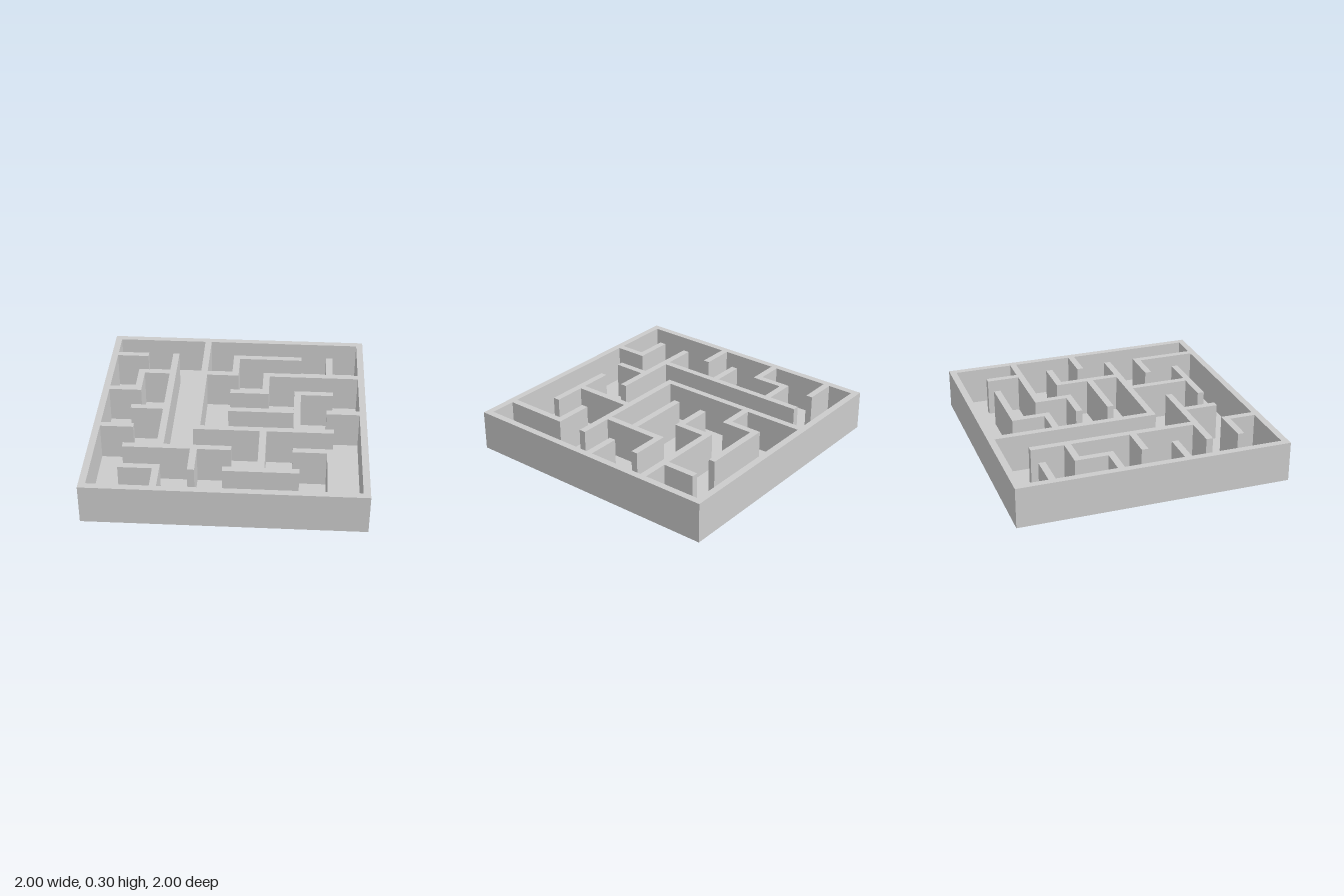
import * as THREE from 'three';

const N = 8;                    // cells per side
const T = 0.05;                 // wall thickness
const PITCH = (2 - T) / N;
const HEIGHT = 0.298, FLOOR = 0.02;

// Inner wall runs between grid posts: x1, z1, x2, z2
const RUNS = [
  [0, 1, 1, 1], [2, 1, 2, 6], [1, 2, 2, 2], [1, 2, 1, 3], [0, 3, 1, 3],
  [1, 4, 2, 4], [0, 5, 1, 5], [1, 6, 4, 6], [3, 6, 3, 7], [1, 7, 2, 7],
  [2, 7, 2, 8], [3, 0, 3, 5], [3, 2, 4, 2], [4, 1, 4, 2], [4, 1, 6, 1],
  [3, 5, 7, 5], [5, 5, 5, 7], [4, 7, 6, 7], [5, 2, 8, 2], [5, 2, 5, 3],
  [4, 3, 5, 3], [7, 1, 7, 2], [6, 3, 7, 3], [6, 3, 6, 5], [4, 4, 6, 4],
  [7, 4, 8, 4], [6, 6, 7, 6], [7, 6, 7, 8],
];
const BORDER = [[0, 0, N, 0], [0, N, N, N], [0, 0, 0, N], [N, 0, N, N]];

// Position of a grid line; lines alternate between the two sides of each wall
const pos = (i) => -1 + Math.floor(i / 2) * PITCH + (i % 2) * T;

// Outlines of the corridors, found by chaining the edges between open and solid squares
function corridorOutlines() {
  const solid = new Set();
  for (const [x1, z1, x2, z2] of [...RUNS, ...BORDER])
    for (let x = 2 * x1; x <= 2 * x2; x++)
      for (let z = 2 * z1; z <= 2 * z2; z++) solid.add(`${x},${z}`);

  const next = new Map();
  const ring = [[0, 0, 1, 0, 0, -1], [1, 0, 1, 1, 1, 0], [1, 1, 0, 1, 0, 1], [0, 1, 0, 0, -1, 0]];
  for (let x = 1; x < 2 * N; x++)
    for (let z = 1; z < 2 * N; z++) {
      if (solid.has(`${x},${z}`)) continue;
      for (const [ax, az, bx, bz, dx, dz] of ring)
        if (solid.has(`${x + dx},${z + dz}`)) next.set(`${x + ax},${z + az}`, [x + bx, z + bz]);
    }

  const outlines = [];
  while (next.size) {
    const loop = [];
    let key = next.keys().next().value;
    while (next.has(key)) {
      const p = next.get(key);
      next.delete(key);
      loop.push(p);
      key = p.join();
    }
    // Keep corners only
    const corners = loop.filter((p, i) => {
      const a = loop[(i + loop.length - 1) % loop.length], b = loop[(i + 1) % loop.length];
      return !((a[0] === p[0] && b[0] === p[0]) || (a[1] === p[1] && b[1] === p[1]));
    });
    outlines.push(corners.map(([x, z]) => new THREE.Vector2(pos(x), pos(z))));
  }
  return outlines;
}

export function createModel() {
  const group = new THREE.Group();
  group.name = 'maze';
  const material = new THREE.MeshStandardMaterial({ color: 0xcccccc, flatShading: true });

  // Floor slab
  const floor = new THREE.Mesh(new THREE.BoxGeometry(2, FLOOR, 2), material);
  floor.name = 'floor';
  floor.position.y = FLOOR / 2;
  group.add(floor);

  // Border and inner walls as one block with the corridors cut out
  const block = new THREE.Shape([[-1, -1], [1, -1], [1, 1], [-1, 1]].map(([x, z]) => new THREE.Vector2(x, z)));
  block.holes = corridorOutlines().map((points) => new THREE.Path(points));
  const geometry = new THREE.ExtrudeGeometry(block, { depth: HEIGHT - FLOOR, bevelEnabled: false });
  geometry.rotateX(Math.PI / 2);
  geometry.translate(0, HEIGHT, 0);
  const walls = new THREE.Mesh(geometry, material);
  walls.name = 'walls';
  group.add(walls);

  return group;
}
